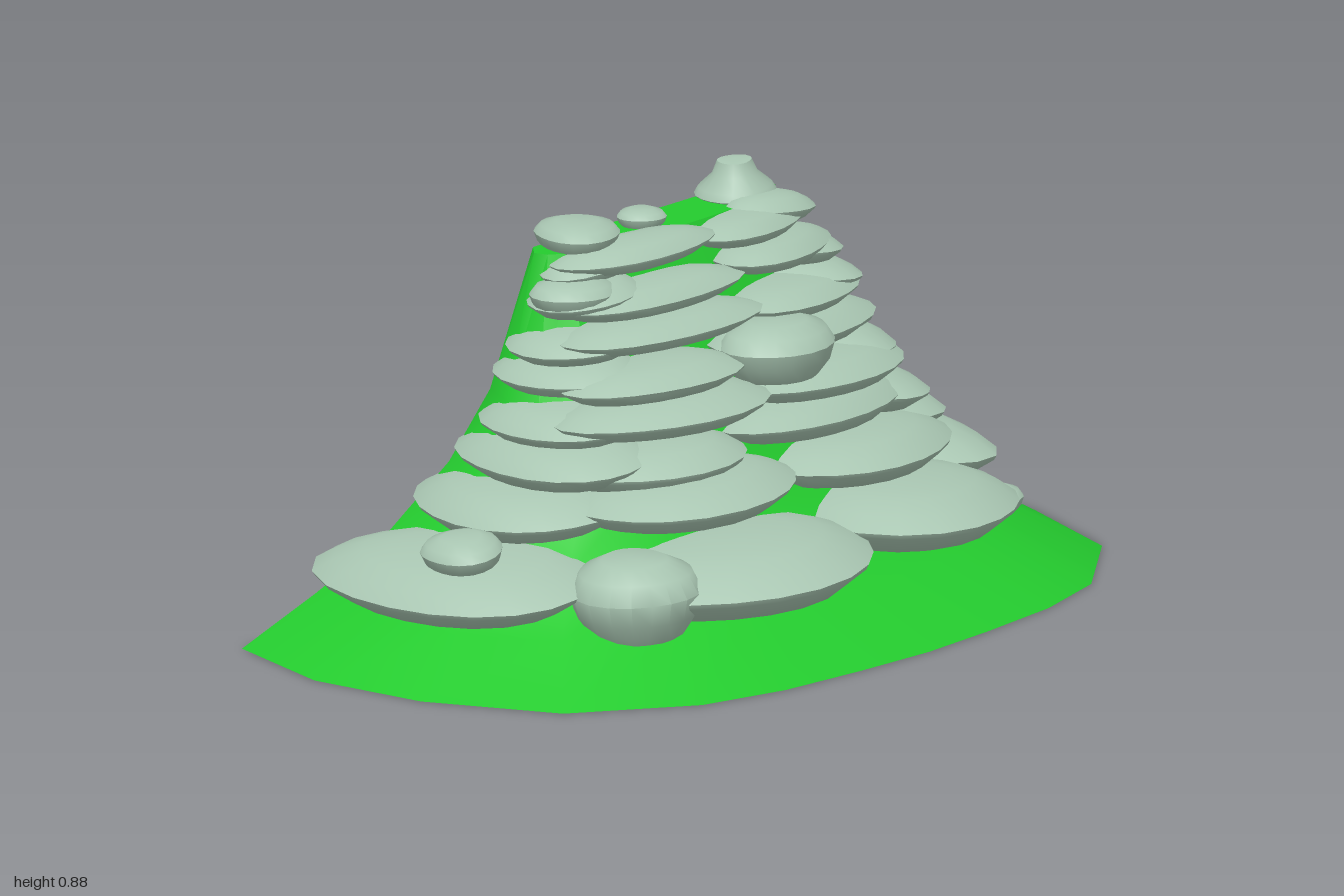
import * as THREE from 'three';
import { toCreasedNormals } from 'three/addons/utils/BufferGeometryUtils.js';

const grass = new THREE.MeshStandardMaterial({ color: 0x24cb2e, side: THREE.DoubleSide });
const stone = new THREE.MeshStandardMaterial({ color: 0xa9c6b2, side: THREE.DoubleSide });

// Hill cross-sections: height, half width, front z, back z
const RINGS = [
  [0, 1, 0.55, -0.55], [0.1, 0.83, 0.36, -0.48], [0.2, 0.67, 0.21, -0.42],
  [0.35, 0.53, 0.1, -0.35], [0.5, 0.45, 0.02, -0.3], [0.8, 0.37, -0.12, -0.245],
];
// Half of the horseshoe outline, from back end to front centre (unit x, z 0..1)
const HALF = [[0.91, 0], [1, 0.25], [0.98, 0.5], [0.86, 0.76], [0.62, 0.92], [0.42, 0.97], [0.2, 0.99], [0, 1]];
const OUTLINE = [...HALF, ...HALF.slice(0, -1).reverse().map(([x, z]) => [-x, z])];

// Open-backed hill sheet with a narrow flat top
function hillGeometry() {
  const pos = [], index = [], n = OUTLINE.length;
  for (const [y, w, f, b] of RINGS)
    for (const [x, z] of OUTLINE) pos.push(x * w, y, b + z * (f - b));
  for (let r = 0; r < RINGS.length - 1; r++)
    for (let i = 0; i < n - 1; i++) {
      const a = r * n + i, c = a + n;
      index.push(a, c, a + 1, a + 1, c, c + 1);
    }
  const top = (RINGS.length - 1) * n;
  for (let i = 1; i < n - 1; i++) index.push(top, top + i + 1, top + i);
  const g = new THREE.BufferGeometry();
  g.setAttribute('position', new THREE.Float32BufferAttribute(pos, 3));
  g.setIndex(index);
  return toCreasedNormals(g, 0.7);
}

// If a point reaches too far through the sheet, returns it moved back to the limit
function pushedOut(v) {
  const r = Math.max(1, RINGS.findIndex(([y]) => y >= Math.min(v.y, 0.8)));
  const lo = RINGS[r - 1], hi = RINGS[r];
  const t = Math.min(1, (v.y - lo[0]) / (hi[0] - lo[0]));
  const [, w, f, b] = lo.map((a, i) => a + (hi[i] - a) * t);
  const ux = v.x / w, uz = (v.z - b) / (f - b);
  const k = Math.max(0.01, Math.cbrt(Math.abs(ux) ** 3 + Math.max(0, uz) ** 3));
  const grow = (1 - 0.08 / w) / k;
  if (grow <= 1) return null;
  return new THREE.Vector3(v.x * grow, v.y, uz > 0 ? b + uz * grow * (f - b) : v.z);
}

// Cuts away the part of a stone that lies deep in the hollow, leaving an open crescent
function cutInside(geometry) {
  const p = geometry.toNonIndexed().attributes.position, kept = [];
  for (let i = 0; i < p.count; i += 3) {
    const tri = [0, 1, 2].map((j) => new THREE.Vector3().fromBufferAttribute(p, i + j));
    const moved = tri.map(pushedOut);
    if (moved.every(Boolean)) continue;
    tri.forEach((v, j) => kept.push(...(moved[j] ?? v).toArray()));
  }
  const g = new THREE.BufferGeometry();
  g.setAttribute('position', new THREE.Float32BufferAttribute(kept, 3));
  return g;
}

const SLAB = [[0, -1], [0.2, -1], [0.4, -0.97], [0.6, -0.88], [0.8, -0.65], [0.98, -0.1], [1, 0.05],
  [0.85, 0.45], [0.65, 0.76], [0.45, 0.9], [0.22, 0.98], [0, 1]];
const BOULDER = [[0, -1], [0.7, -1], [0.92, -0.4], [1, 0.2], [0.85, 0.7], [0.5, 1], [0, 1]];
const SPIRE = [[0, -1], [0.75, -0.95], [1, -0.5], [0.9, -0.2], [0.55, 0.35], [0.42, 0.9], [0, 1]];

let seed = 1;
// Irregular turned stone with half sizes rx, ry, rz; slabs are cut open inside the hill
function rock(group, name, profile, [x, y, z], [rx, ry, rz], yaw = 0, roll = 0) {
  const g = new THREE.LatheGeometry(profile.map(([r, h]) => new THREE.Vector2(r, h)), 20);
  const p = g.attributes.position, s = seed++ * 1.7;
  for (let i = 0; i < p.count; i++) {
    const a = Math.atan2(p.getZ(i), p.getX(i));
    const k = 0.98 + 0.04 * Math.sin(2 * a + s) + 0.035 * Math.sin(3 * a + 2 * s);
    p.setXYZ(i, p.getX(i) * k * rx, p.getY(i) * ry, p.getZ(i) * k * rz);
  }
  g.applyMatrix4(new THREE.Matrix4().makeRotationFromEuler(new THREE.Euler(0, yaw, roll)).setPosition(x, y, z));
  const mesh = new THREE.Mesh(toCreasedNormals(profile === SLAB ? cutInside(g) : g, 0.75), stone);
  mesh.name = name;
  group.add(mesh);
}

export function createModel() {
  const model = new THREE.Group();
  const hill = new THREE.Mesh(hillGeometry(), grass);
  hill.name = 'hill';
  model.add(hill);

  // Wide bottom course
  const base = new THREE.Group();
  base.name = 'bottomCourse';
  rock(base, 'frontSlab', SLAB, [-0.24, 0.175, 0.21], [0.34, 0.075, 0.28], -0.1, 0.03);
  rock(base, 'frontSlab', SLAB, [0.3, 0.195, 0.2], [0.29, 0.07, 0.27], 0.15, -0.03);
  rock(base, 'sideSlab', SLAB, [0.63, 0.2, -0.18], [0.23, 0.07, 0.31], 0, -0.06);
  rock(base, 'sideSlab', SLAB, [-0.67, 0.18, -0.16], [0.235, 0.065, 0.34], 0, 0.12);
  rock(base, 'boulder', BOULDER, [-0.53, 0.17, 0.2], [0.14, 0.08, 0.15], 0, 0.05);
  rock(base, 'smallStone', BOULDER, [-0.73, 0.25, -0.1], [0.09, 0.035, 0.09], 0, 0.15);
  rock(base, 'smallStone', BOULDER, [0.6, 0.14, 0.2], [0.075, 0.03, 0.065]);
  model.add(base);

  // Upper courses: height, half thickness, front z, front depth, front reach in x,
  // side reach in x, side z range, seam x
  const courses = [
    [0.31, 0.055, 0.29, 0.19, 0.53, 0.68, -0.37, 0.13, 0.01],
    [0.39, 0.05, 0.19, 0.15, 0.49, 0.59, -0.32, 0.16, -0.07],
    [0.475, 0.045, 0.18, 0.16, 0.49, 0.54, -0.28, 0.1, 0.01],
    [0.555, 0.04, 0.13, 0.14, 0.45, 0.49, -0.28, 0.06, -0.04],
    [0.63, 0.037, 0.09, 0.13, 0.42, 0.47, -0.26, 0.04, 0.05],
    [0.705, 0.036, 0.03, 0.11, 0.39, 0.43, -0.23, 0.01, 0.05],
    [0.775, 0.033, -0.02, 0.09, 0.36, 0.39, -0.22, -0.04, 0.01],
  ];
  courses.forEach(([y, ry, front, depth, reach, side, back, fore, seam], i) => {
    const course = new THREE.Group();
    course.name = 'course' + (i + 2);
    for (const s of [1, -1]) {
      const dy = (i % 2 ? s : -s) * 0.008;
      rock(course, 'frontSlab', SLAB, [(s * reach + seam) / 2, y + dy, front - depth],
        [(reach - s * seam) / 2 + 0.025, ry, depth], s * 0.15, -s * 0.02);
      const rx = 0.12 + (side - 0.39) * 0.22;
      rock(course, 'sideSlab', SLAB, [s * (side - rx), y - dy, (back + fore) / 2 - (s < 0 ? 0.03 : 0)],
        [rx, ry, (fore - back) / 2], s * 0.1, -s * 0.1);
    }
    model.add(course);
  });

  // Ledge and crown stones
  rock(model, 'ledgeBoulder', BOULDER, [0.065, 0.56, 0.08], [0.155, 0.058, 0.11], 0.2);
  rock(model, 'ledgeStone', BOULDER, [0.42, 0.505, -0.07], [0.07, 0.018, 0.06]);
  rock(model, 'shoulderStone', BOULDER, [-0.34, 0.72, -0.13], [0.1, 0.035, 0.09]);
  rock(model, 'crownBoulder', BOULDER, [-0.26, 0.82, -0.19], [0.095, 0.032, 0.095]);
  rock(model, 'crownPebble', BOULDER, [-0.055, 0.815, -0.19], [0.055, 0.02, 0.05]);
  rock(model, 'crownSpire', SPIRE, [0.245, 0.832, -0.19], [0.085, 0.05, 0.085], 0, 0.06);
  return model;
}
